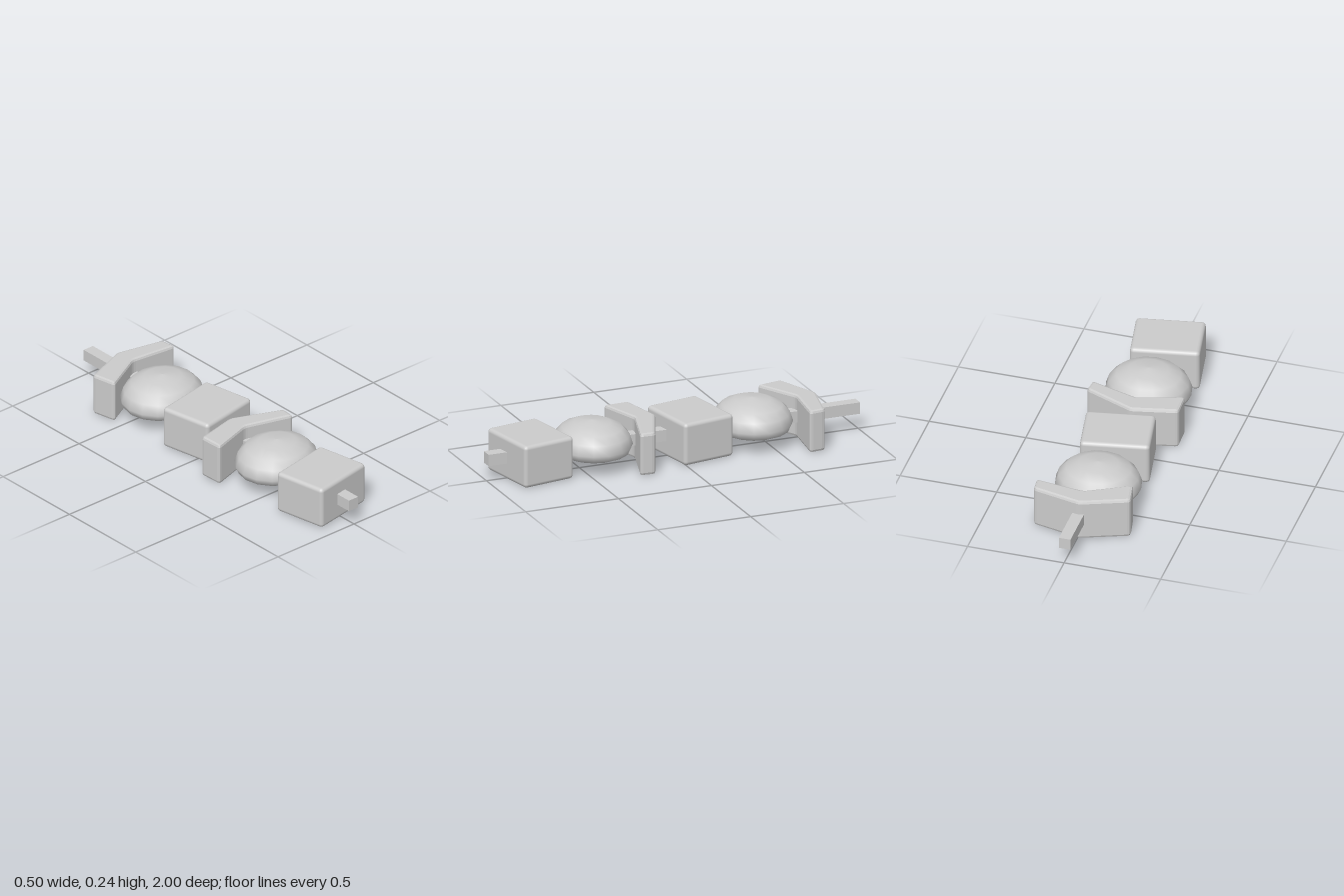
import * as THREE from 'three';
import { RoundedBoxGeometry } from 'three/addons/geometries/RoundedBoxGeometry.js';

const material = new THREE.MeshStandardMaterial({ color: 0xcccccc });

function add(group, name, geometry, x, y, z) {
  const mesh = new THREE.Mesh(geometry, material);
  mesh.name = name;
  mesh.position.set(x, y, z);
  group.add(mesh);
  return mesh;
}

// Closed outline with every corner rounded by radius r
function roundedShape(points, r) {
  const pts = points.map(([x, y]) => new THREE.Vector2(x, y));
  const shape = new THREE.Shape();
  pts.forEach((p, i) => {
    const prev = pts[(i + pts.length - 1) % pts.length];
    const next = pts[(i + 1) % pts.length];
    const a = p.clone().add(prev.clone().sub(p).setLength(r));
    const b = p.clone().add(next.clone().sub(p).setLength(r));
    if (i === 0) shape.moveTo(a.x, a.y);
    else shape.lineTo(a.x, a.y);
    shape.quadraticCurveTo(p.x, p.y, b.x, b.y);
  });
  shape.closePath();
  return shape;
}

// Bent slice: plan outline in (x, z), extruded upward with soft edges
function pepperGeometry(plan) {
  const bevel = 0.014;
  const shape = roundedShape(plan.map(([x, z]) => [x, -z]), 0.018);
  const geometry = new THREE.ExtrudeGeometry(shape, {
    depth: 0.22 - 2 * bevel, curveSegments: 3,
    bevelEnabled: true, bevelSize: bevel, bevelThickness: bevel,
    bevelOffset: -bevel, bevelSegments: 2,
  });
  return geometry.rotateX(-Math.PI / 2).translate(0, bevel, 0);
}

// Cap with a rolled rim and a hollow underside
function mushroomGeometry() {
  const profile = [
    [0, 0.135], [0.095, 0.122], [0.125, 0.088], [0.165, 0.072], [0.203, 0.088],
    [0.22, 0.123], [0.203, 0.172], [0.165, 0.21], [0.1, 0.236], [0, 0.247],
  ].map(([r, y]) => new THREE.Vector2(r, y));
  return new THREE.LatheGeometry(profile, 16).scale(1, 1, 0.91);
}

export function createModel() {
  const group = new THREE.Group();
  group.name = 'skewer';

  // Square stick through everything
  add(group, 'stick', new THREE.BoxGeometry(0.06, 0.06, 2), -0.003, 0.12, 0);

  // Meat chunks, slightly turned
  const meat = new RoundedBoxGeometry(0.35, 0.22, 0.29, 2, 0.02);
  for (const z of [0.76, -0.1]) {
    add(group, 'meatChunk', meat, -0.007, 0.115, z).rotation.y = 0.18;
  }

  // Mushroom caps
  const mushroom = mushroomGeometry();
  for (const z of [0.428, -0.434]) add(group, 'mushroomCap', mushroom, -0.008, 0, z);

  // Pepper slices, bent around the stick
  const plans = [
    [[-0.25, 0.135], [-0.016, 0.083], [0.242, 0.192], [0.236, 0.272], [-0.016, 0.196], [-0.245, 0.268]],
    [[-0.25, -0.685], [-0.01, -0.778], [0.242, -0.722], [0.252, -0.636], [0, -0.667], [-0.223, -0.55]],
  ];
  for (const plan of plans) add(group, 'pepperSlice', pepperGeometry(plan), 0, 0.005, 0);

  return group;
}
